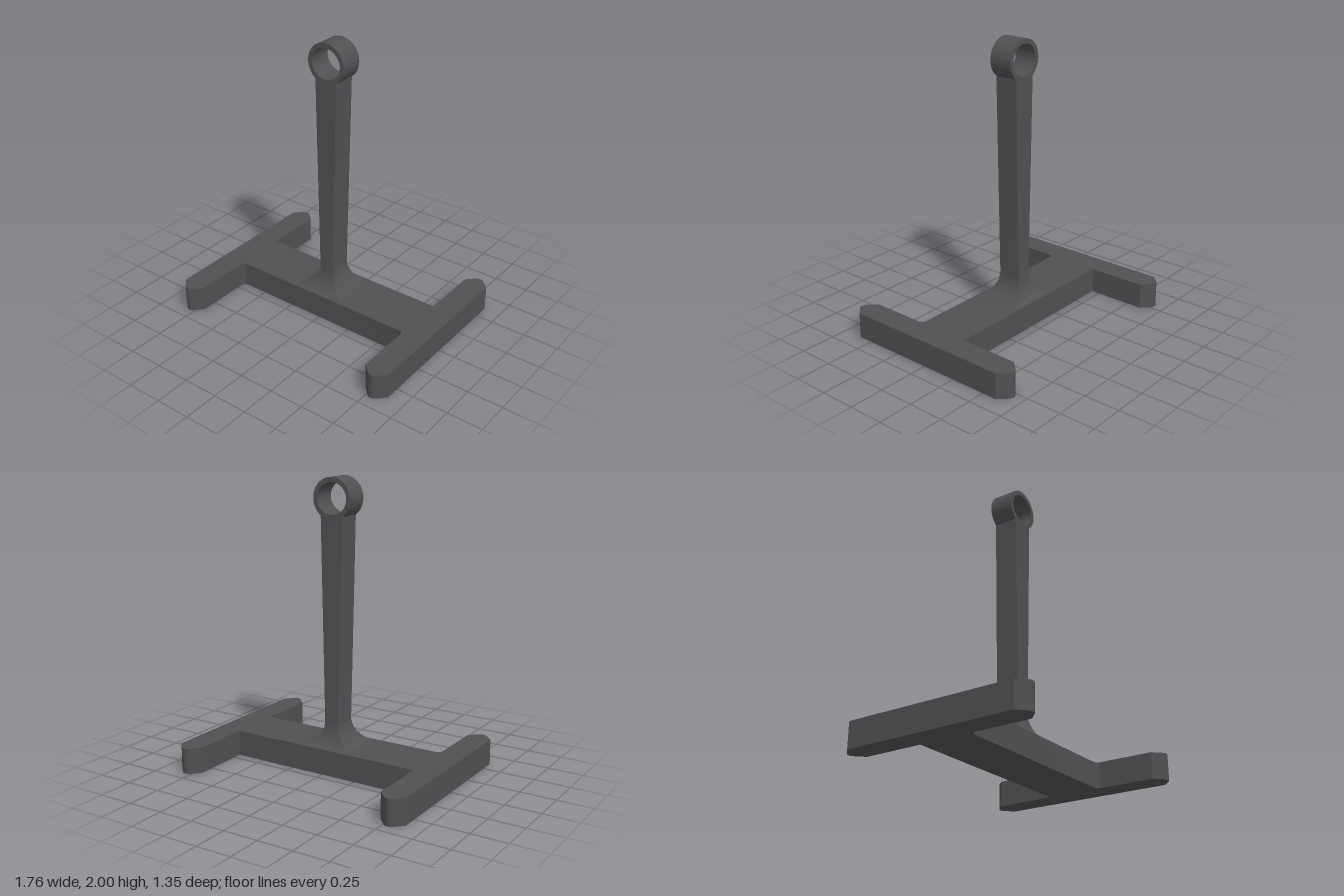
import * as THREE from 'three';
import { toCreasedNormals } from 'three/addons/utils/BufferGeometryUtils.js';

const BASE_H = 0.18, CX = -0.016, Z_BACK = -0.092, Z_FRONT = 0.075;

// H-shaped base outline, drawn in x and z
function baseShape() {
  const s = new THREE.Shape();
  const out = 0.878, inn = 0.703, mid = 0.79, r = 0.04;
  const back = -0.19, front = 0.182;
  // pointed foot end with a rounded tip, running from xa to xb
  const tip = (xa, xb, z, dir) => {
    const m = (xa + xb) / 2, h = Math.sign(xb - xa) * 0.03;
    s.lineTo(xa, z);
    s.lineTo(m - h, z + dir * 0.058);
    s.quadraticCurveTo(m, z + dir * 0.082, m + h, z + dir * 0.058);
    s.lineTo(xb, z);
  };
  s.moveTo(-inn, back);
  s.lineTo(inn, back);
  tip(inn, out, -0.607, -1);
  tip(out, inn, 0.602, 1);
  s.lineTo(inn, front + r);
  s.quadraticCurveTo(inn, front, inn - r, front);
  s.lineTo(-inn + r, front);
  s.quadraticCurveTo(-inn, front, -inn, front + r);
  tip(-inn, -out, 0.602, 1);
  tip(-out, -inn, -0.607, -1);
  s.closePath();
  return s;
}

// Rectangular post: concave flare at the foot, then a widening shaft
function postGeometry() {
  const sections = [];
  const steps = 12;
  for (let i = 0; i <= steps; i++) {
    const a = (1 - i / steps) * 1.42;
    const k = 1 - Math.cos(a);
    const y = 0.35 - 0.172 * Math.sin(a) / Math.sin(1.42);
    sections.push({ y, hx: 0.052 + 0.178 * k, zb: Z_BACK - 0.11 * k, zf: Z_FRONT + 0.125 * k });
    const s = sections[i];
    s.zb = Math.max(s.zb, -0.187);
    s.zf = Math.min(s.zf, 0.18);
  }
  sections.push({ y: 1.747, hx: 0.083, zb: Z_BACK, zf: Z_FRONT });
  const corners = ({ y, hx, zb, zf }) => [
    [CX - hx, y, zf], [CX + hx, y, zf], [CX + hx, y, zb], [CX - hx, y, zb],
  ];
  const pos = [];
  for (let i = 0; i < sections.length - 1; i++) {
    const lo = corners(sections[i]), hi = corners(sections[i + 1]);
    for (let j = 0; j < 4; j++) {
      const k = (j + 1) % 4;
      pos.push(...lo[j], ...lo[k], ...hi[k], ...lo[j], ...hi[k], ...hi[j]);
    }
  }
  const g = new THREE.BufferGeometry();
  g.setAttribute('position', new THREE.Float32BufferAttribute(pos, 3));
  return toCreasedNormals(g, 0.5);
}

export function createModel() {
  const group = new THREE.Group();
  const darkGrey = new THREE.MeshStandardMaterial({ color: 0x505053 });
  darkGrey.name = 'dark grey';
  const add = (name, geometry) => {
    const mesh = new THREE.Mesh(geometry, darkGrey);
    mesh.name = name;
    group.add(mesh);
  };

  // Base
  const base = new THREE.ExtrudeGeometry(baseShape(), { depth: BASE_H, bevelEnabled: false, curveSegments: 8 });
  base.rotateX(Math.PI / 2).translate(0, BASE_H, 0);
  add('base', toCreasedNormals(base, 0.5));

  // Post
  add('post', postGeometry());

  // Ring with a slightly oval hole
  const ring = new THREE.Shape().absarc(CX, 1.86, 0.14, 0, Math.PI * 2);
  ring.holes.push(new THREE.Path().absellipse(CX, 1.861, 0.112, 0.106, 0, Math.PI * 2, true));
  const ringGeo = new THREE.ExtrudeGeometry(ring, { depth: Z_FRONT - Z_BACK, bevelEnabled: false, curveSegments: 40 });
  ringGeo.translate(0, 0, Z_BACK);
  add('ring', toCreasedNormals(ringGeo, 0.5));

  return group;
}
